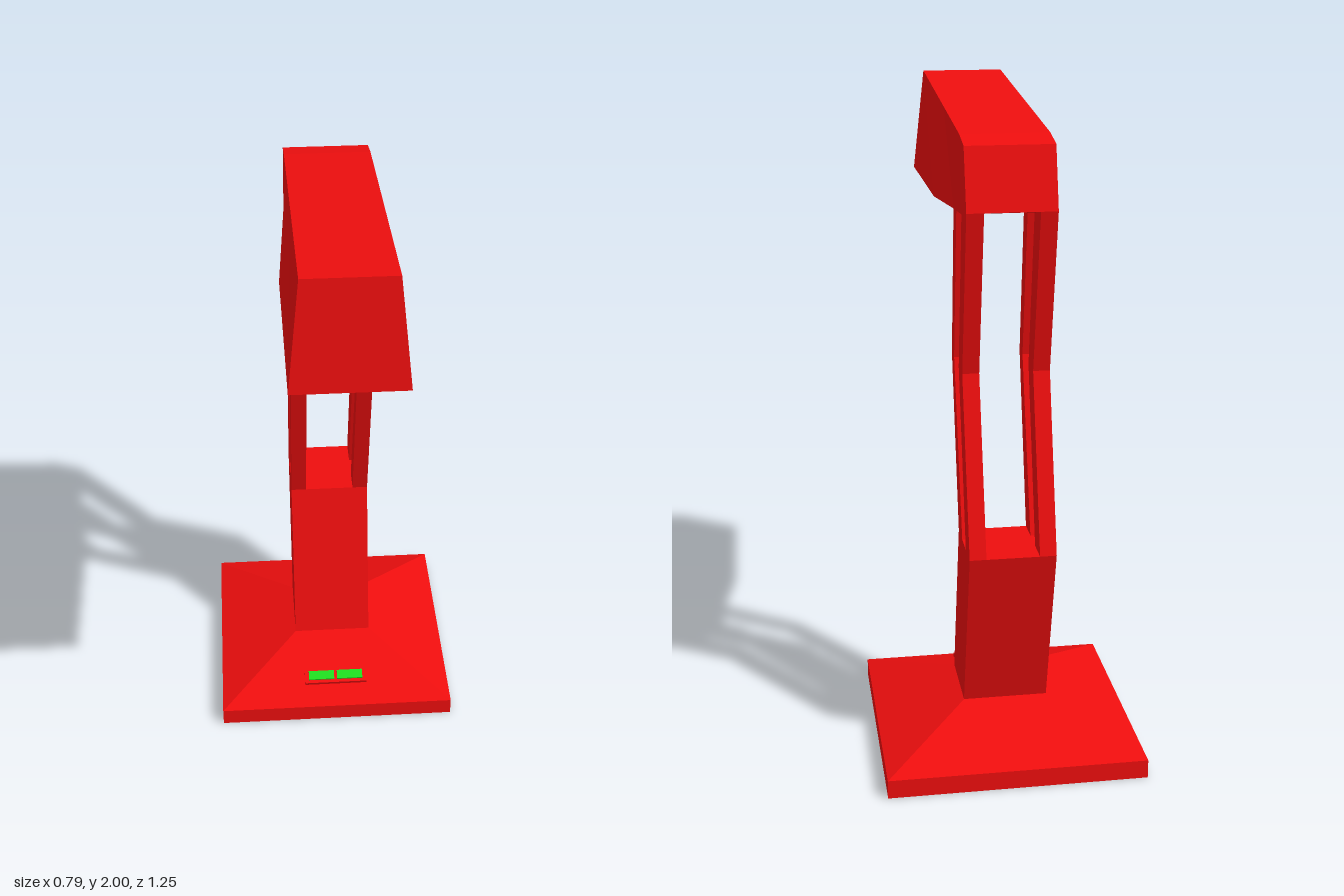
import * as THREE from 'three';

const red = new THREE.MeshStandardMaterial({ color: 0xee0e0e, flatShading: true });
const blue = new THREE.MeshStandardMaterial({ color: 0x000080, flatShading: true });
const green = new THREE.MeshStandardMaterial({ color: 0x1fdc1f, flatShading: true });

// Flat-shaded mesh from a list of convex polygons
function polyMesh(name, polys, material) {
  const pos = [];
  for (const p of polys) {
    for (let i = 1; i < p.length - 1; i++) pos.push(...p[0], ...p[i], ...p[i + 1]);
  }
  const geo = new THREE.BufferGeometry();
  geo.setAttribute('position', new THREE.Float32BufferAttribute(pos, 3));
  geo.computeVertexNormals();
  const mesh = new THREE.Mesh(geo, material);
  mesh.name = name;
  return mesh;
}

// Skin between two loops of points; skip leaves one side open
function skin(a, b, skip = -1) {
  const quads = [];
  a.forEach((_, i) => {
    const j = (i + 1) % a.length;
    if (i !== skip) quads.push([a[i], a[j], b[j], b[i]]);
  });
  return quads;
}

// Closed solid through cross-sections; openSide(k) may leave a side of span k open
function loft(rings, openSide = () => -1) {
  const polys = [[...rings[0]].reverse(), rings[rings.length - 1]];
  for (let k = 0; k < rings.length - 1; k++) polys.push(...skin(rings[k], rings[k + 1], openSide(k)));
  return polys;
}

// Four-cornered section: x range, front edge (z, y) and back edge (z, y)
const section = (x0, x1, zf, yf, zb, yb = yf) =>
  [[x1, yf, zf], [x1, yb, zb], [x0, yb, zb], [x0, yf, zf]];

export function createModel() {
  const model = new THREE.Group();

  // Sloped base plate
  model.add(polyMesh('base', loft([
    section(-0.395, 0.395, 0.167, 0, -0.623),
    section(-0.395, 0.395, 0.167, 0.058, -0.623),
    section(-0.13, 0.13, -0.11, 0.16, -0.347),
  ]), red));

  // Solid lower stem leaning back
  model.add(polyMesh('lowerStem', loft([
    section(-0.13, 0.13, -0.11, 0.16, -0.347),
    section(-0.13, 0.13, -0.247, 0.69, -0.49),
  ]), red));

  // Four bent struts: front and back pairs
  const struts = {
    frontStrut: [[-0.247, 0.69, -0.326, 0.69], [-0.11, 1.22, -0.163, 1.22], [-0.172, 1.676, -0.236, 1.682]],
    backStrut: [[-0.406, 0.69, -0.49, 0.69], [-0.268, 1.22, -0.347, 1.22], [-0.347, 1.69, -0.448, 1.71]],
  };
  for (const [name, path] of Object.entries(struts)) {
    for (const [side, x0, x1] of [['Left', 0.08, 0.13], ['Right', -0.13, -0.08]]) {
      model.add(polyMesh(name + side, loft(path.map((p) => section(x0, x1, ...p))), red));
    }
  }

  // Lamp head, back to front: top z, top y, bottom z, bottom y, bottom half width
  const stations = [
    [-0.40, 1.89, -0.448, 1.71, 0.13],
    [-0.31, 1.91, -0.347, 1.69, 0.13],
    [-0.17, 1.924, -0.17, 1.675, 0.13],
    [0.05, 1.946, 0.04, 1.675, 0.163],
    [0.595, 2.0, 0.627, 1.675, 0.163],
  ];
  const headRings = stations.map(([zt, yt, zb, yb, w]) =>
    [[w, yb, zb], [0.13, yt, zt], [-0.13, yt, zt], [-w, yb, zb]]);
  const head = loft(headRings, (k) => (k >= 2 ? 3 : -1));

  // Rim and recess under the head
  const outline = (pts, y) => [
    ...pts.map(([x, z]) => [x, y, z]),
    ...[...pts].reverse().map(([x, z]) => [-x, y, z]),
  ];
  const inner = [[0.145, 0.602], [0.145, 0.04], [0.113, -0.145]];
  const rimOuter = outline([[0.163, 0.627], [0.163, 0.04], [0.13, -0.17]], 1.675);
  const rimInner = outline(inner, 1.675);
  const recess = outline(inner, 1.7);
  const flip = (polys) => polys.map((p) => [...p].reverse());
  head.push(...flip(skin(rimOuter, rimInner)), ...flip(skin(rimInner, recess)));
  model.add(polyMesh('lampHead', head, red));
  model.add(polyMesh('lightPanel', [[...recess].reverse()], blue));

  // Switch plate with two buttons on the front slope
  const controls = new THREE.Group();
  controls.name = 'controls';
  controls.position.set(0, 0.097, 0.063);
  controls.rotation.x = Math.atan2(0.102, 0.277);
  const box = (name, w, h, d, x, y, material) => {
    const mesh = new THREE.Mesh(new THREE.BoxGeometry(w, h, d), material);
    mesh.name = name;
    mesh.position.set(x, y, 0);
    controls.add(mesh);
  };
  box('switchPlate', 0.214, 0.024, 0.054, 0, 0, red);
  for (const s of [-1, 1]) box(s > 0 ? 'buttonLeft' : 'buttonRight', 0.088, 0.016, 0.032, s * 0.049, 0.01, green);
  model.add(controls);

  return model;
}
